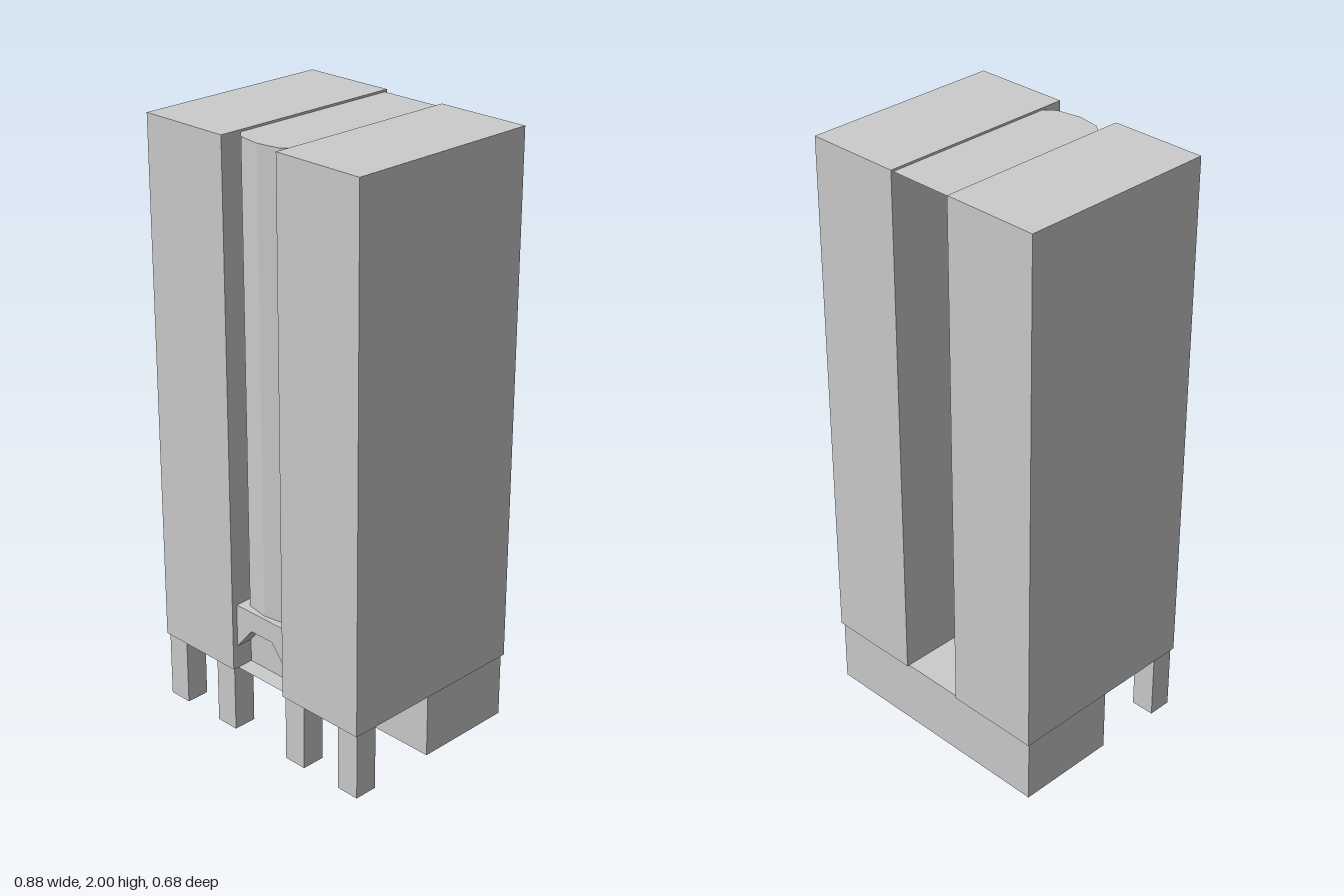
import * as THREE from 'three';

const material = new THREE.MeshStandardMaterial({ color: 0xcccccc, flatShading: true, side: THREE.DoubleSide });

function add(group, name, geometry, x = 0, y = 0, z = 0) {
  const mesh = new THREE.Mesh(geometry, material);
  mesh.name = name;
  mesh.position.set(x, y, z);
  group.add(mesh);
}

// Box given by its limits; openBottom leaves out the lower face
function addBox(group, name, [x0, x1], [y0, y1], [z0, z1], openBottom = false) {
  const geometry = new THREE.BoxGeometry(x1 - x0, y1 - y0, z1 - z0);
  if (openBottom) {
    const index = Array.from(geometry.index.array);
    index.splice(18, 6);
    geometry.setIndex(index);
    geometry.clearGroups();
  }
  add(group, name, geometry, (x0 + x1) / 2, (y0 + y1) / 2, (z0 + z1) / 2);
}

const toShape = (points) => new THREE.Shape(points.map(([x, y]) => new THREE.Vector2(x, y)));

export function createModel() {
  const tower = new THREE.Group();
  tower.name = 'tower';
  const half = 0.113;       // half width of the gap between the slabs
  const floorY = 0.23, sillY = 0.46, roofY = 1.993;

  // Two tall slabs, each with two hollow legs at the front
  for (const [side, s] of [['left', 1], ['right', -1]]) {
    const span = (a, b) => (s > 0 ? [a, b] : [-b, -a]);
    addBox(tower, side + 'Slab', span(half, 0.438), [floorY, 2], [-0.341, 0.341]);
    addBox(tower, side + 'InnerLeg', span(0.118, 0.2), [0, floorY], [0.252, 0.333], true);
    addBox(tower, side + 'OuterLeg', span(0.35, 0.432), [0, floorY], [0.252, 0.333], true);
  }

  // Hollow ground floor under the rear half
  addBox(tower, 'groundFloor', [-0.432, 0.432], [0.008, floorY], [-0.333, 0.016], true);

  // Faceted bay front between the slabs
  const bay = [[-half, 0.265], [-0.08, 0.295], [0, 0.308], [0.08, 0.295], [half, 0.265]];
  const front = new THREE.PlaneGeometry(2 * half, roofY - sillY, bay.length - 1, 1);
  const p = front.attributes.position;
  for (let i = 0; i < p.count; i++) {
    const [x, z] = bay[i % bay.length];
    p.setX(i, x);
    p.setZ(i, z);
  }
  front.computeVertexNormals();
  add(tower, 'bayFront', front, 0, (roofY + sillY) / 2);

  // Roof over the open-backed gap, following the bay
  const roof = new THREE.ShapeGeometry(toShape([
    ...bay.map(([x, z]) => [x, -z]), [half, 0.333], [-half, 0.333],
  ]));
  add(tower, 'gapRoof', roof.rotateX(-Math.PI / 2), 0, roofY);

  // Floor of the gap
  const floor = new THREE.PlaneGeometry(2 * half, 0.655).rotateX(-Math.PI / 2);
  add(tower, 'gapFloor', floor, 0, floorY + 0.001, -0.0055);

  // Canopy with a cut-out arch, and the wall behind it
  const arch = toShape([[-half, sillY], [-half, 0.31], [-0.047, 0.39], [0.047, 0.39], [half, 0.31], [half, sillY]]);
  add(tower, 'entranceArch', new THREE.ExtrudeGeometry(arch, { depth: 0.057, bevelEnabled: false }), 0, 0, 0.265);
  add(tower, 'entranceWall', new THREE.PlaneGeometry(2 * half, sillY - floorY), 0, (sillY + floorY) / 2, 0.264);

  return tower;
}
